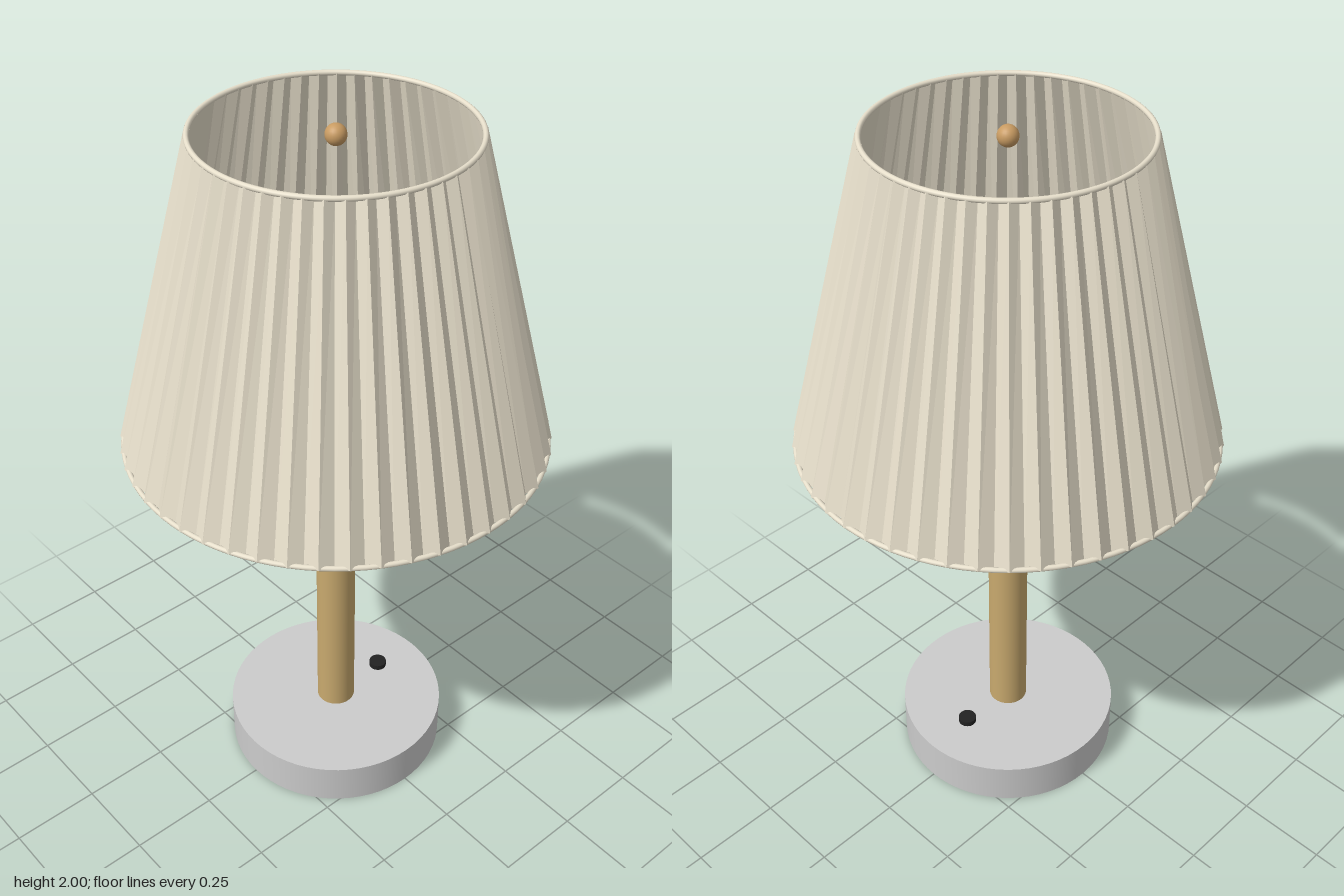
import * as THREE from 'three';

const PLEATS = 48;
const SHADE = { bottom: 1.13, top: 1.983, bottomRadius: 0.565, topRadius: 0.347 };

function add(group, name, geometry, color, y, x = 0, extra = {}) {
  const mesh = new THREE.Mesh(geometry, new THREE.MeshStandardMaterial({ color, ...extra }));
  mesh.name = name;
  mesh.position.set(x, y, 0);
  group.add(mesh);
  return mesh;
}

// Cylinder standing on its lower face
function rod(radius, height, sides = 64) {
  return new THREE.CylinderGeometry(radius, radius, height, sides).translate(0, height / 2, 0);
}

// Zigzag cone: ridges and valleys alternate around the rim
function pleatedCone() {
  const positions = [], index = [], n = PLEATS * 2;
  const rings = [
    [SHADE.bottom, SHADE.bottomRadius, 0.01],
    [SHADE.top, SHADE.topRadius, 0.008],
  ];
  for (const [y, radius, depth] of rings) {
    for (let i = 0; i < n; i++) {
      const a = (i / n) * Math.PI * 2;
      const r = radius + (i % 2 ? -depth : depth);
      positions.push(Math.sin(a) * r, y, Math.cos(a) * r);
    }
  }
  for (let i = 0; i < n; i++) {
    const j = (i + 1) % n;
    index.push(i, j, n + j, i, n + j, n + i);
  }
  const geometry = new THREE.BufferGeometry();
  geometry.setAttribute('position', new THREE.Float32BufferAttribute(positions, 3));
  geometry.setIndex(index);
  const flat = geometry.toNonIndexed();
  flat.computeVertexNormals();
  return flat;
}

function hoop(radius) {
  return new THREE.TorusGeometry(radius, 0.007, 10, 96).rotateX(Math.PI / 2);
}

export function createModel() {
  const lamp = new THREE.Group();
  lamp.name = 'tableLamp';
  const brass = 0xc8a96e, fabric = 0xe8e0cc;

  // Foot, switch and stem
  add(lamp, 'base', rod(0.32, 0.127), 0xcccccc, 0);
  add(lamp, 'switchButton', rod(0.026, 0.016, 32), 0x222222, 0.127, 0.175);
  add(lamp, 'stem', rod(0.056, 1.123), brass, 0.127);

  // Diffuser disc inside the shade, and the finial at its top
  add(lamp, 'diffuser', rod(0.495, 0.015, 96), 0xffe4b0, 1.15);
  add(lamp, 'finial', new THREE.SphereGeometry(0.027, 24, 16), 0xc89b62, 1.973);

  // Pleated shade with a thin hoop at each rim
  const shade = new THREE.Group();
  shade.name = 'shade';
  lamp.add(shade);
  add(shade, 'pleats', pleatedCone(), fabric, 0, 0, { side: THREE.DoubleSide, flatShading: true });
  add(shade, 'bottomHoop', hoop(SHADE.bottomRadius), fabric, SHADE.bottom);
  add(shade, 'topHoop', hoop(SHADE.topRadius), fabric, SHADE.top);

  return lamp;
}
